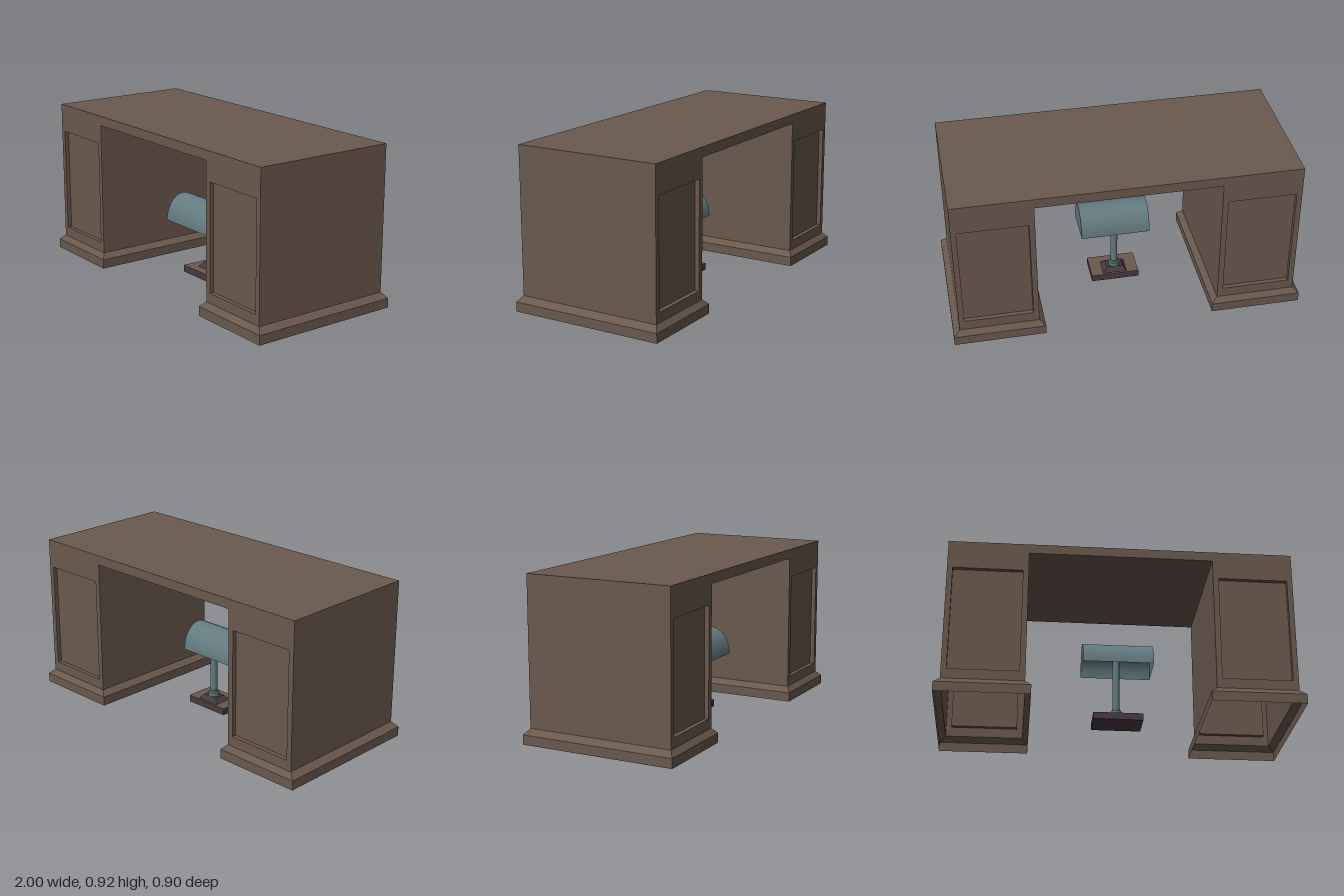
import * as THREE from 'three';
import { toCreasedNormals } from 'three/addons/utils/BufferGeometryUtils.js';

const paint = (name, color, side = THREE.DoubleSide) => {
  const m = new THREE.MeshStandardMaterial({ color, side });
  m.name = name;
  return m;
};

// Skin quads between successive rows of [x, y, z] points
function skin(rows, closed = false) {
  const pos = [];
  for (let r = 0; r + 1 < rows.length; r++) {
    const n = rows[r].length;
    for (let i = 0; i < (closed ? n : n - 1); i++) {
      const j = (i + 1) % n;
      const a = rows[r][i], b = rows[r][j], c = rows[r + 1][j], d = rows[r + 1][i];
      pos.push(...a, ...b, ...c, ...a, ...c, ...d);
    }
  }
  const g = new THREE.BufferGeometry();
  g.setAttribute('position', new THREE.Float32BufferAttribute(pos, 3));
  g.computeVertexNormals();
  return g;
}

// Horizontal rectangle as a ring of corners
const ring = (x0, x1, z0, z1, y) => [[x0, y, z1], [x1, y, z1], [x1, y, z0], [x0, y, z0]];
// Outline in x and y swept from z0 to z1
const sweep = (pts, z0, z1, closed) =>
  skin([z0, z1].map((z) => pts.map(([x, y]) => [x, y, z])), closed);

export function createModel() {
  const wood = paint('brown wood', 0x6b594e);
  const teal = paint('grey teal metal', 0x637b7f);
  const dark = paint('dark plum', 0x473a42);

  const model = new THREE.Group();
  model.name = 'deskWithLamp';
  const add = (parent, name, geometry, material, x = 0, y = 0, z = 0) => {
    const mesh = new THREE.Mesh(geometry, material);
    mesh.name = name;
    mesh.position.set(x, y, z);
    parent.add(mesh);
    return mesh;
  };

  // Desk: a hollow shell, open underneath
  const desk = new THREE.Group();
  desk.name = 'desk';
  model.add(desk);
  const W = 0.965, D = 0.425, TOP = 0.918, KNEE = 0.515, UNDER = 0.863, FOOT = 0.085;
  const outer = [[W, FOOT], [W, TOP], [-W, TOP], [-W, FOOT]];
  const inner = [[-KNEE, FOOT], [-KNEE, UNDER], [KNEE, UNDER], [KNEE, FOOT]];
  add(desk, 'topAndOuterSides', sweep(outer, -D, D), wood);
  add(desk, 'kneeholeLining', sweep(inner, -D, D), wood);

  // Front and back faces with a recessed panel on each pedestal
  const P0 = 0.547, P1 = 0.934, PB = 0.142, PT = 0.753, RECESS = 0.025;
  const panels = [1, -1].map((s) => {
    const [a, b] = s > 0 ? [P0, P1] : [-P1, -P0];
    return [[a, PB], [b, PB], [b, PT], [a, PT]];
  });
  const toVectors = (pts) => pts.map(([x, y]) => new THREE.Vector2(x, y));
  const faceShape = new THREE.Shape(toVectors([...outer, ...inner]));
  panels.forEach((p) => faceShape.holes.push(new THREE.Path(toVectors(p))));
  ['frontFace', 'backFace'].forEach((name, k) => {
    const face = new THREE.Group();
    face.name = name;
    face.rotation.y = k * Math.PI;
    desk.add(face);
    add(face, 'faceBoard', new THREE.ShapeGeometry(faceShape), wood, 0, 0, D);
    panels.forEach((p) => {
      add(face, 'panelReveal', sweep([...p], D, D - RECESS, true), wood);
      add(face, 'recessedPanel', new THREE.ShapeGeometry(new THREE.Shape(toVectors(p))),
        wood, 0, 0, D - RECESS);
    });
  });

  // Plinth with a sloped shoulder round each pedestal
  for (const s of [1, -1]) {
    const tier = (x0, x1, z, y) => ring(s > 0 ? x0 : -x1, s > 0 ? x1 : -x0, -z, z, y);
    add(desk, s > 0 ? 'leftPlinth' : 'rightPlinth', skin([
      tier(0.482, 1, 0.45, 0), tier(0.482, 1, 0.45, 0.054), tier(KNEE, W, D, FOOT),
    ], true), wood);
  }

  // Lamp standing in the kneehole
  const lamp = new THREE.Group();
  lamp.name = 'lamp';
  lamp.position.x = 0.007;
  model.add(lamp);
  add(lamp, 'lampBase', new THREE.BoxGeometry(0.28, 0.04, 0.175),
    [dark, dark, wood, dark, dark, dark], 0.003, 0.03, 0.024);
  add(lamp, 'baseStep', skin([
    ring(-0.067, 0.073, -0.052, 0.056, 0.05),
    ring(-0.045, 0.047, -0.032, 0.034, 0.079),
    ring(0, 0, 0, 0, 0.079),
  ], true), dark);

  // Post and collar turned as one profile
  const post = [[0, 0.078], [0.032, 0.078], [0.032, 0.1], [0.024, 0.104], [0.024, 0.113],
    [0.02, 0.115], [0.02, 0.42], [0, 0.42]].map(([r, y]) => new THREE.Vector2(r, y));
  add(lamp, 'post', toCreasedNormals(new THREE.LatheGeometry(post, 16), 0.6), teal, 0, 0, -0.003);

  // Arched shade, open below, with closed ends
  const shade = new THREE.Group();
  shade.name = 'shade';
  shade.position.set(-0.002, 0.326, 0.067);
  shade.rotation.y = Math.PI / 2;
  lamp.add(shade);
  const arch = [];
  for (let i = 0; i <= 14; i++) {
    const t = (i / 14) * Math.PI;
    arch.push([0.118 * Math.cos(t), 0.149 * Math.sin(t)]);
  }
  add(shade, 'shadeHood', toCreasedNormals(sweep(arch, -0.2, 0.2), 0.6), teal);
  for (const s of [1, -1]) {
    const end = add(shade, 'shadeEnd', new THREE.ShapeGeometry(new THREE.Shape(toVectors(arch))),
      teal, 0, 0, s * 0.2);
    if (s < 0) end.rotation.y = Math.PI;
  }
  return model;
}
